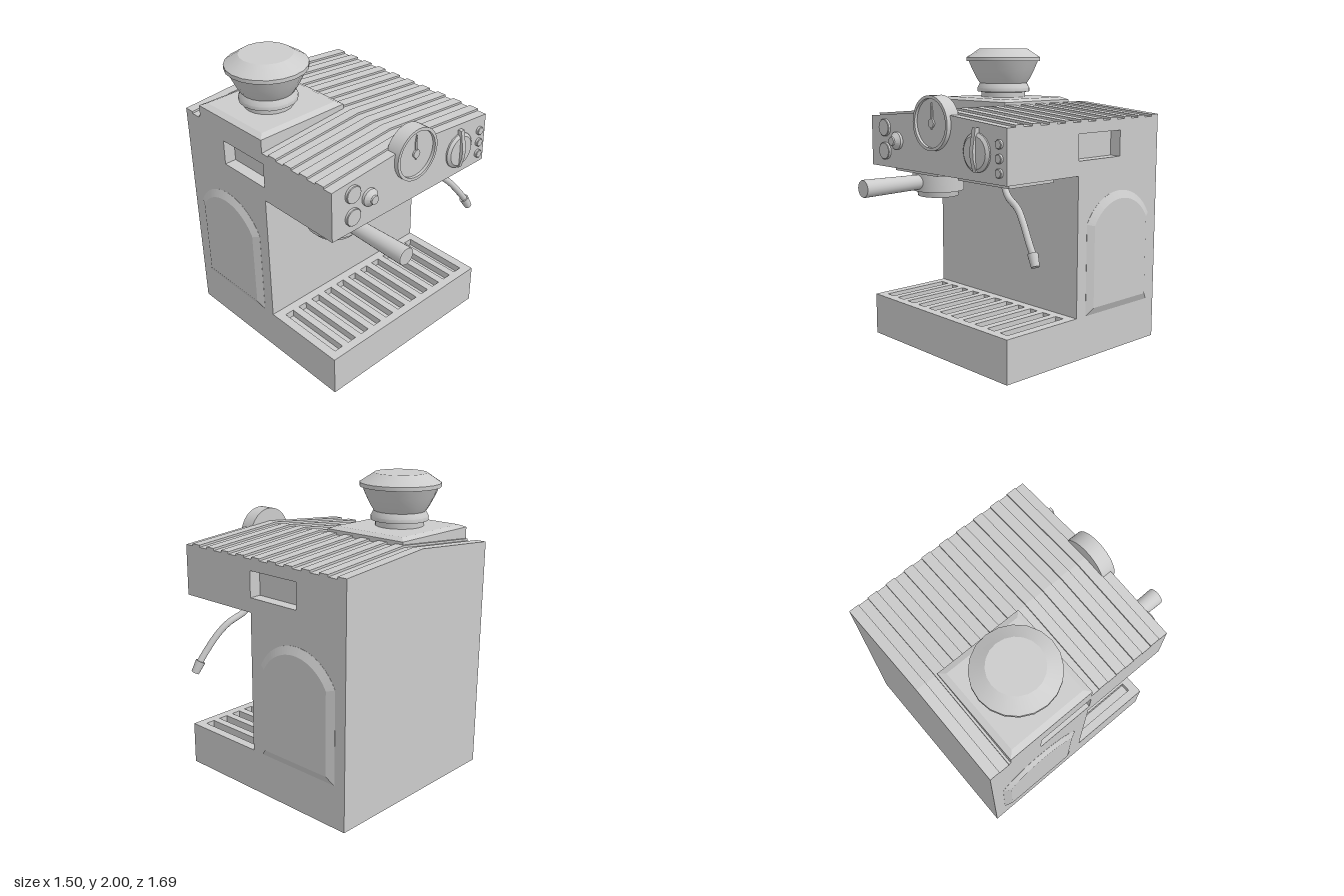
import * as THREE from 'three';
import { toCreasedNormals } from 'three/addons/utils/BufferGeometryUtils.js';

const material = new THREE.MeshStandardMaterial({ color: 0xcccccc });
const X0 = -0.725, X1 = 0.635, Z0 = -0.845, Z1 = 0.55, RIDGE = -0.045;

export function createModel() {
  const model = new THREE.Group();
  model.name = 'espressoMachine';

  function add(name, geometry, x = 0, y = 0, z = 0) {
    const mesh = new THREE.Mesh(geometry, material);
    mesh.name = name;
    mesh.position.set(x, y, z);
    model.add(mesh);
    return mesh;
  }
  const shapeOf = pts => new THREE.Shape(pts.map(p => new THREE.Vector2(...p)));
  const rect = (a0, b0, a1, b1) => [[a0, b0], [a1, b0], [a1, b1], [a0, b1]];
  const extrude = (shape, depth, bevel = {}) =>
    new THREE.ExtrudeGeometry(shape, { depth, bevelEnabled: false, curveSegments: 16, ...bevel });
  // (z, y) outline extruded sideways, ending at the given +x
  const sideExtrude = (shape, width, xEnd, bevel) =>
    extrude(shape, width, bevel).rotateY(-Math.PI / 2).translate(xEnd, 0, 0);
  const box = (name, x0, x1, y0, y1, z0, z1) =>
    add(name, new THREE.BoxGeometry(x1 - x0, y1 - y0, z1 - z0), (x0 + x1) / 2, (y0 + y1) / 2, (z0 + z1) / 2);
  const lathe = (pts, segments = 32) =>
    toCreasedNormals(new THREE.LatheGeometry(pts.map(p => new THREE.Vector2(...p)), segments), 0.5);
  // Turned part whose axis points to the front
  const frontLathe = (name, pts, x, y, z = Z1, segments = 32) =>
    add(name, lathe(pts, segments).rotateX(Math.PI / 2), x, y, z);

  // C-shaped housing, with a recessed grip in each side plate
  const profile = () => shapeOf([[Z0, 0], [Z1, 0], [Z1, 0.235], [-0.06, 0.235], [-0.06, 1.21],
    [Z1, 1.21], [Z1, 1.545], [Z0, 1.545]]);
  const plate = 0.08;
  add('housing', sideExtrude(profile(), X1 - X0 - 2 * plate, X1 - plate));
  for (const xEnd of [X1, X0 + plate]) {
    const shape = profile();
    shape.holes.push(shapeOf(rect(-0.455, 1.305, -0.06, 1.475)));
    add('sidePlate', sideExtrude(shape, plate, xEnd));
  }

  // Drip grate with slots
  const grate = shapeOf(rect(X0, -Z1, X1, 0.06));
  const slots = 11, pitch = 1.29 / slots;
  for (let i = 0; i < slots; i++) {
    const cx = (X0 + X1) / 2 + (i - (slots - 1) / 2) * pitch;
    grate.holes.push(shapeOf(rect(cx - 0.033, -0.49, cx + 0.033, 0.0)));
  }
  add('dripGrate', extrude(grate, 0.05).rotateX(-Math.PI / 2), 0, 0.235, 0);

  // Ridged roof: a shallow gable with raised ribs
  const gable = rise => shapeOf([[X0, 1.545], [X1, 1.545], [X1, 1.548 + rise],
    [RIDGE, 1.607 + rise], [X0, 1.548 + rise]]);
  add('roof', extrude(gable(0), Z1 - Z0), 0, 0, Z0);
  for (let i = 0; i < 10; i++) add('roofRib', extrude(gable(0.014), 0.07), 0, 0, Z0 + i * 0.14);

  // Arched, chamfered panels on both sides
  const panel = new THREE.Shape();
  panel.moveTo(-0.765, 0.285);
  panel.lineTo(-0.145, 0.285);
  const rise = 0.19, half = 0.31, radius = (half * half + rise * rise) / (2 * rise);
  const angle = Math.asin(half / radius);
  panel.absarc(-0.455, 1.08 - radius, radius, Math.PI / 2 - angle, Math.PI / 2 + angle, false);
  const panelBevel = { bevelEnabled: true, bevelSize: 0.05, bevelOffset: -0.05, bevelThickness: 0.024, bevelSegments: 1 };
  for (const x of [X1 + 0.001, X0 + 0.019]) add('sidePanel', sideExtrude(panel, 0.02, x, panelBevel));

  // Grinder base with sloping edges, and the bean hopper on it
  const hood = shapeOf(rect(X0, 0.065, -0.05, 0.69));
  add('grinderBase', extrude(hood, 0.09, {
    bevelEnabled: true, bevelSize: 0.04, bevelOffset: -0.04, bevelThickness: 0.018, bevelSegments: 1,
  }).rotateX(-Math.PI / 2), 0, 1.548, 0);
  add('beanHopper', lathe([[0, 1.64], [0.16, 1.64], [0.16, 1.69], [0.19, 1.695], [0.19, 1.72], [0.178, 1.742],
    [0.172, 1.755], [0.195, 1.79], [0.225, 1.85], [0.252, 1.912], [0.267, 1.912], [0.267, 1.938],
    [0.24, 1.955], [0.172, 2], [0, 2]], 20), -0.405, 0, -0.38);

  // Pressure gauge with a raised rim and needle
  frontLathe('gauge', [[0, 0], [0.175, 0], [0.175, 0.1], [0.155, 0.1], [0.155, 0.08], [0, 0.08]], RIDGE, 1.535, 0.48, 40);
  frontLathe('needleHub', [[0.028, 0], [0.028, 0.012], [0, 0.012]], RIDGE, 1.535, 0.56, 16);
  add('needle', extrude(shapeOf([[-0.005, -0.04], [0.005, -0.04], [0.009, 0.08], [0, 0.13], [-0.009, 0.08]]), 0.008),
    RIDGE, 1.535, 0.56);

  // Front buttons and knobs
  const button = (name, r, x, y) =>
    frontLathe(name, [[r, -0.005], [r, 0.015], [r - 0.004, 0.019], [0, 0.019]], x, y, Z1, 24);
  for (const y of [1.475, 1.318]) button('roundButton', 0.058, -0.565, y);
  for (const y of [1.45, 1.365, 1.28]) button('smallButton', 0.028, 0.575, y);
  frontLathe('modeKnob', [[0.058, -0.005], [0.058, 0.018], [0.03, 0.045], [0.028, 0.055], [0, 0.055]], -0.43, 1.395);
  frontLathe('steamDial', [[0.12, -0.005], [0.12, 0.01], [0.1, 0.025], [0, 0.027]], 0.375, 1.385);
  add('steamDialGrip', sideExtrude(shapeOf([[0.545, 1.268], [0.575, 1.268], [0.596, 1.345],
    [0.6, 1.4], [0.578, 1.535], [0.545, 1.535]]), 0.03, 0.39));

  // Mounts under the head
  box('brewMount', -0.62, -0.15, 1.17, 1.215, 0.055, 0.435);
  box('wandMount', 0.055, 0.53, 1.17, 1.215, 0.055, 0.435);

  // Filter holder and its handle
  add('filterHolder', lathe([[0, 1], [0.14, 1], [0.147, 1.04], [0.178, 1.04], [0.178, 1.175], [0, 1.175]]), -0.41, 0, 0.228);
  frontLathe('filterHandle', [[0.05, 0], [0.059, 0.46], [0.056, 0.465], [0, 0.465]], -0.41, 1.105, 0.38, 24);

  // Steam wand with its nozzle
  const path = [[0.295, 1.19, 0.265], [0.315, 1.15, 0.275], [0.37, 1.09, 0.295], [0.49, 1.03, 0.325],
    [0.56, 0.965, 0.35], [0.64, 0.86, 0.378], [0.70, 0.775, 0.393]].map(p => new THREE.Vector3(...p));
  add('steamWand', new THREE.TubeGeometry(new THREE.CatmullRomCurve3(path), 32, 0.022, 12));
  const from = new THREE.Vector3(0.685, 0.795, 0.388), to = new THREE.Vector3(0.723, 0.722, 0.402);
  const nozzle = add('steamNozzle', new THREE.CylinderGeometry(0.033, 0.026, from.distanceTo(to), 16));
  nozzle.position.copy(from).lerp(to, 0.5);
  nozzle.quaternion.setFromUnitVectors(new THREE.Vector3(0, 1, 0), to.clone().sub(from).normalize().negate());

  return model;
}
